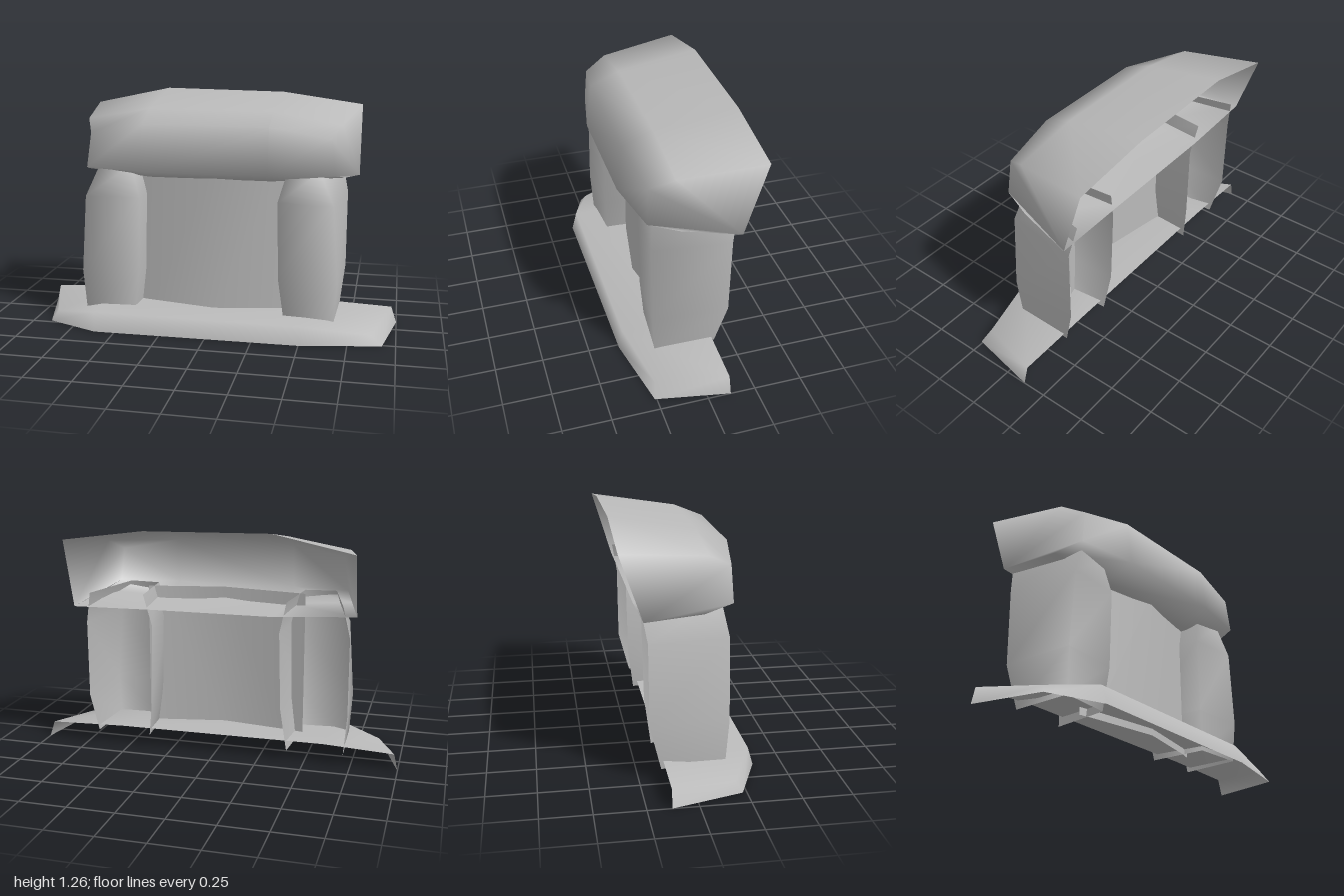
import * as THREE from 'three';
import { mergeVertices } from 'three/addons/utils/BufferGeometryUtils.js';

const stone = new THREE.MeshStandardMaterial({ color: 0xbababa, side: THREE.DoubleSide });
stone.name = 'grey stone';

// Smooth open skin through a row of sections, optionally closing both end sections.
function skin(name, sections, capped = false) {
  const n = sections[0].length, last = (sections.length - 1) * n, index = [];
  for (let i = 0; i < sections.length - 1; i++) {
    for (let j = 0; j < n - 1; j++) {
      const a = i * n + j, b = a + n;
      index.push(a, b, b + 1, a, b + 1, a + 1);
    }
  }
  if (capped) {
    for (let j = 1; j < n - 1; j++) {
      index.push(0, j, j + 1, last, last + j + 1, last + j);
    }
  }
  let geometry = new THREE.BufferGeometry();
  geometry.setAttribute('position', new THREE.Float32BufferAttribute(sections.flat(2), 3));
  geometry.setIndex(index);
  geometry = mergeVertices(geometry);
  geometry.computeVertexNormals();
  const mesh = new THREE.Mesh(geometry, stone);
  mesh.name = name;
  return mesh;
}

// Ground slab: each section runs from the ground, over the rim, to the back edge
function makeBase() {
  return skin('baseSlab', [
    [[-1, 0, -0.13], [-0.98, 0.09, -0.13], [-0.98, 0.09, -0.13]],
    [[-0.9, 0, 0.23], [-0.87, 0.05, 0.2], [-0.98, 0.09, -0.13]],
    [[-0.61, 0, 0.35], [-0.62, 0.1, 0.32], [-0.6, 0.11, -0.13]],
    [[0.52, 0, 0.34], [0.5, 0.095, 0.315], [0.55, 0.105, -0.125]],
    [[0.93, 0, 0.26], [0.87, 0.05, 0.24], [0.97, 0.09, -0.12]],
    [[1, 0, -0.12], [0.97, 0.09, -0.12], [0.97, 0.09, -0.12]],
  ]);
}

// Upright stone, open at the back; columns run inner back, inner front, outer front, outer back
function makePillar(name, side, shift, foot) {
  const heights = [foot, 0.3, 0.72, 0.89];
  const columns = [
    [[0.375, -0.15], [0.345, -0.18], [0.335, -0.19], [0.375, -0.21]],
    [[0.40, 0.165], [0.37, 0.18], [0.36, 0.18], [0.41, 0.155]],
    [[0.67, 0.185], [0.685, 0.2], [0.655, 0.2], [0.58, 0.17]],
    [[0.68, -0.14], [0.705, -0.2], [0.705, -0.205], [0.67, -0.235]],
  ];
  const sections = columns.map(col =>
    col.map(([x, z], i) => [side * (x + shift), heights[i], z]));
  return skin(name, side > 0 ? sections : sections.reverse());
}

// Capstone: profiles run from the bottom back, round the front, to the top back
function makeCapstone() {
  const middle = (x, top) => [
    [x, 0.815, -0.23], [x, 0.82, 0.1], [x, 0.88, 0.28],
    [x, 1.125, 0.25], [x, 1.19, 0.09], [x, top, -0.35],
  ];
  const end = (side, x, top, bottom) => [
    [side * x, bottom, -0.23], [side * (x - 0.06), 0.85, 0.07], [side * (x - 0.105), 0.885, 0.22],
    [side * (x - 0.13), 1.07, 0.21], [side * (x - 0.08), 1.13, 0.09], [side * x, top, -0.345],
  ];
  return skin('capstone', [
    end(-1, 0.77, 1.17, 0.84), middle(-0.35, 1.26), middle(0.32, 1.25), end(1, 0.765, 1.19, 0.81),
  ], true);
}

// Thin bowed wall between the uprights
function makeBackWall() {
  const plan = [[-0.46, 0.04], [-0.37, 0.06], [0.01, 0.125], [0.36, 0.06], [0.43, 0.04]];
  return skin('backWall', plan.map(([x, z]) => [[x, 0.065, z], [x, 0.89, z]]));
}

export function createModel() {
  const group = new THREE.Group();
  group.name = 'stoneArch';
  group.add(
    makeBase(),
    makePillar('leftPillar', 1, 0, 0.075),
    makePillar('rightPillar', -1, 0.03, 0.06),
    makeBackWall(),
    makeCapstone(),
  );
  return group;
}
